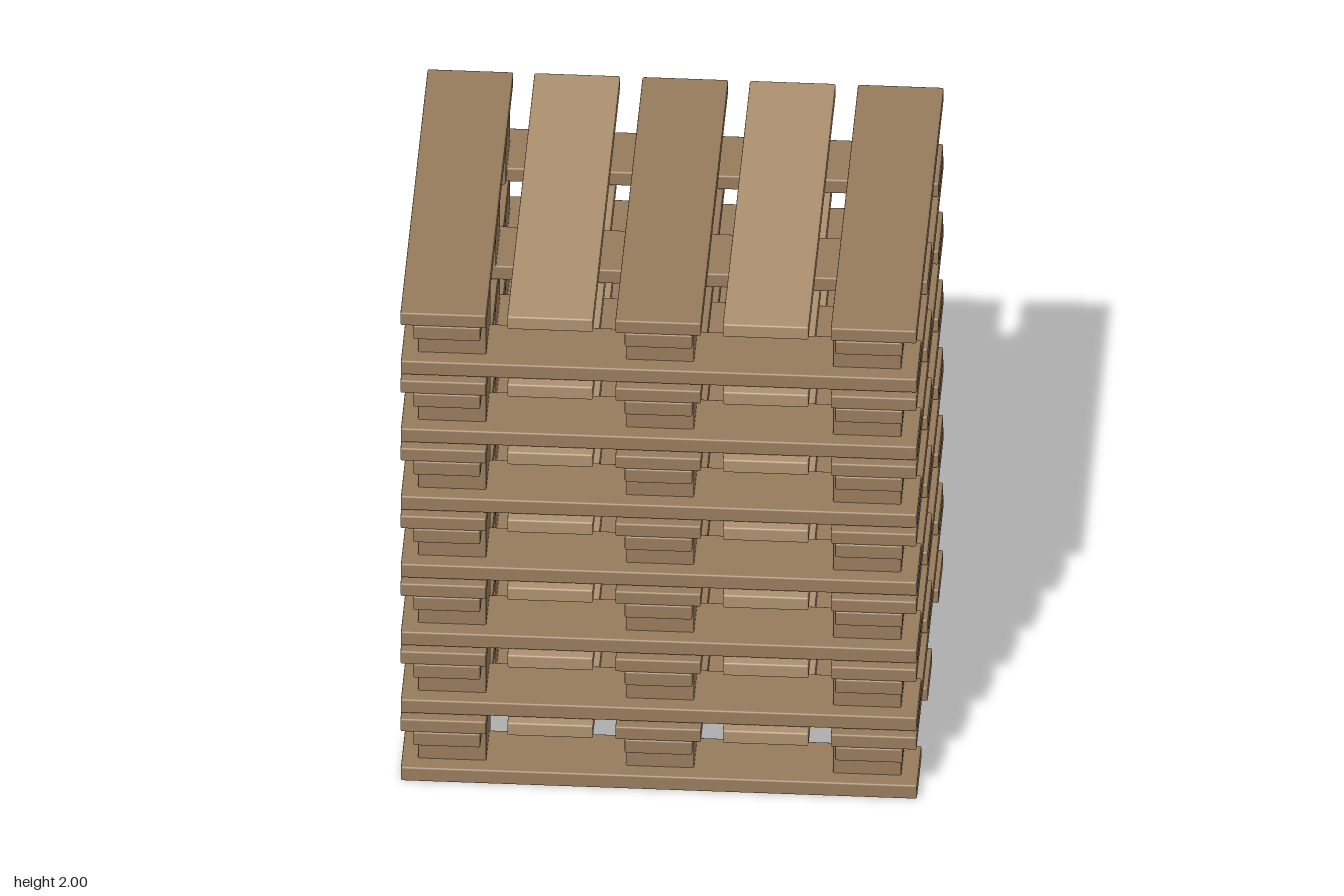
import * as THREE from 'three';
import { RoundedBoxGeometry } from 'three/addons/geometries/RoundedBoxGeometry.js';

const LEVELS = 7;
const PITCH = 0.287;

const darkWood = new THREE.MeshStandardMaterial({ color: 0x967b5c });
const lightWood = new THREE.MeshStandardMaterial({ color: 0xad9170 });

// Slightly eased plank geometry
const plank = (w, h, d) => new RoundedBoxGeometry(w, h, d, 1, 0.006);

const geometry = {
  bottomBoard: plank(1.806, 0.057, 0.25),
  block: plank(0.238, 0.172, 0.24),
  stringer: plank(0.236, 0.057, 1.508),
  deckBoard: plank(0.3, 0.053, 1.508),
};

function addPart(parent, name, x, y, z, material = darkWood) {
  const mesh = new THREE.Mesh(geometry[name], material);
  mesh.name = name;
  mesh.position.set(x, y, z);
  parent.add(mesh);
}

function createPallet() {
  const pallet = new THREE.Group();
  pallet.name = 'pallet';

  // Three skids across the width
  for (const z of [-0.604, 0, 0.604]) addPart(pallet, 'bottomBoard', 0, 0.0285, z);

  // Nine spacer blocks, let into the boards above and below
  for (const x of [-0.727, 0, 0.725]) {
    for (const z of [-0.541, 0.003, 0.547]) addPart(pallet, 'block', x, 0.112, z);
  }

  // Three stringers from front to back
  for (const x of [-0.741, 0, 0.736]) addPart(pallet, 'stringer', x, 0.1965, 0);

  // Five deck boards, alternating dark and light
  [-0.753, -0.379, -0.001, 0.375, 0.753].forEach((x, i) =>
    addPart(pallet, 'deckBoard', x, 0.2515, 0, i % 2 ? lightWood : darkWood));

  return pallet;
}

export function createModel() {
  const stack = new THREE.Group();
  stack.name = 'palletStack';
  for (let i = 0; i < LEVELS; i++) {
    const pallet = createPallet();
    pallet.position.y = i * PITCH;
    stack.add(pallet);
  }
  return stack;
}
